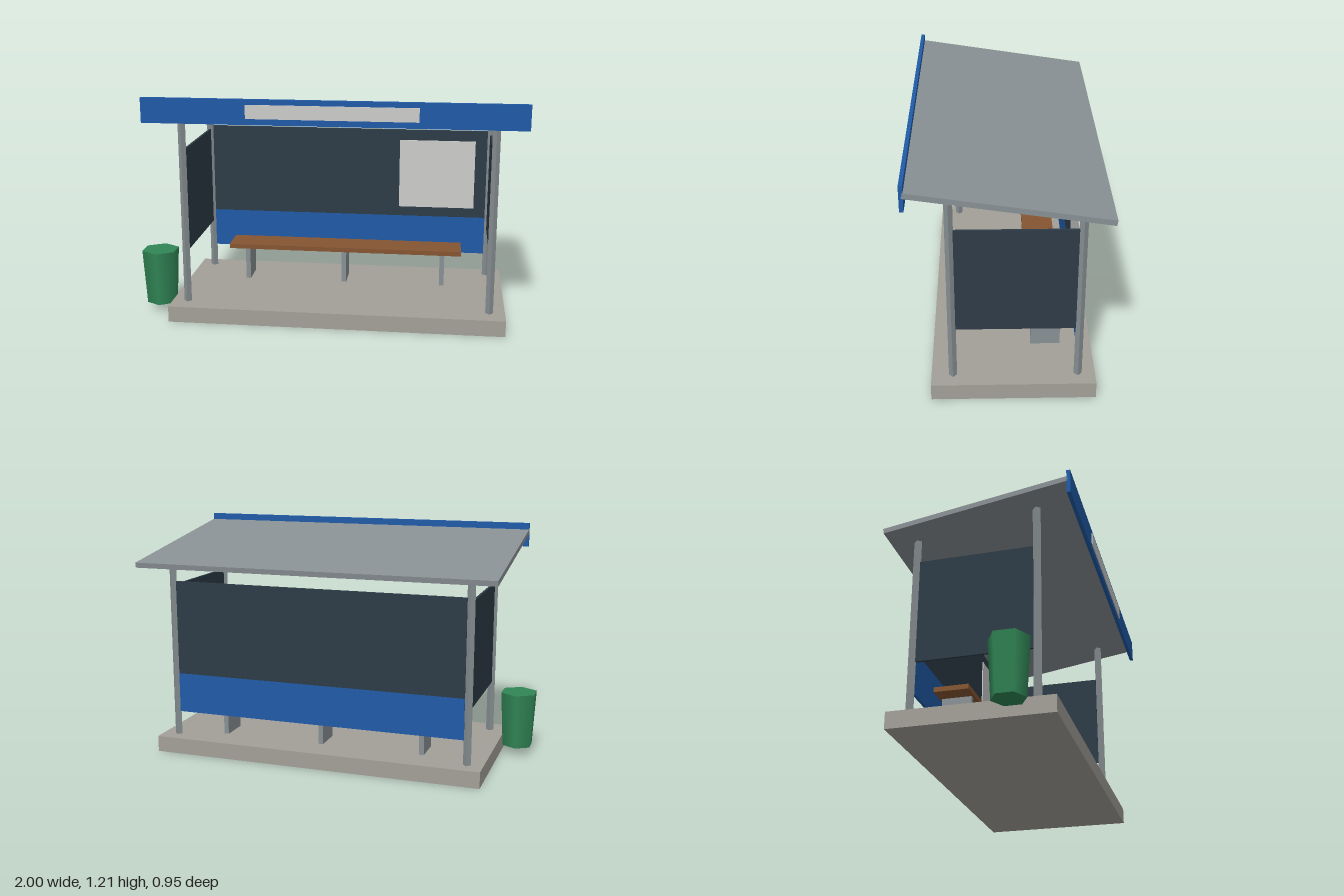
import * as THREE from 'three';

const mat = (name, color) => {
  const m = new THREE.MeshStandardMaterial({ color });
  m.name = name;
  return m;
};

export function createModel() {
  const steel = mat('grey steel', 0x899194);
  const concrete = mat('concrete', 0xa3a098);
  const blue = mat('blue paint', 0x205ba8);
  const tinted = mat('dark tinted panel', 0x2e3c47);
  const paper = mat('pale sign', 0xcccccb);
  const wood = mat('brown wood', 0x855632);
  const green = mat('green bin', 0x318656);

  const model = new THREE.Group();
  model.name = 'busShelter';
  const cx = 0.052; // middle of the shelter; the bin stands outside its left end

  const add = (name, geometry, material, x, y, z) => {
    const mesh = new THREE.Mesh(geometry, material);
    mesh.name = name;
    mesh.position.set(x, y, z);
    model.add(mesh);
    return mesh;
  };
  // Box given by its extents on each axis
  const box = (name, material, [x0, x1], [y0, y1], [z0, z1]) =>
    add(name, new THREE.BoxGeometry(x1 - x0, y1 - y0, z1 - z0), material,
      (x0 + x1) / 2, (y0 + y1) / 2, (z0 + z1) / 2);

  // Floor slab
  box('floorSlab', concrete, [cx - 0.88, cx + 0.88], [0, 0.085], [-0.428, 0.372]);

  // Four diamond-section posts, reaching into the sloping roof
  const postX = 0.798;
  for (const side of [-1, 1]) {
    for (const [name, z, top] of [['frontPost', 0.267, 1.13], ['rearPost', -0.343, 1.036]]) {
      add(name, new THREE.CylinderGeometry(0.02, 0.02, top - 0.085, 4).toNonIndexed(), steel,
        cx + side * postX, (top + 0.085) / 2, z).geometry.computeVertexNormals();
    }
    // Side panel between front and rear posts
    const x = cx + side * postX;
    box('sidePanel', tinted, [x - 0.006, x + 0.006], [0.36, 0.905], [-0.325, 0.249]);
  }

  // Rear wall: dark upper panel, blue lower panel, poster
  const wallX = [cx - 0.78, cx + 0.78];
  box('rearPanel', tinted, wallX, [0.425, 0.925], [-0.349, -0.337]);
  box('rearLowerPanel', blue, wallX, [0.213, 0.425], [-0.35, -0.336]);
  box('poster', paper, [0.345, 0.767], [0.48, 0.866], [-0.337, -0.331]);

  // Sloping roof, fascia and sign strip
  const roof = add('roof', new THREE.BoxGeometry(1.89, 0.027, 0.937), steel, cx, 1.0915, -0.007);
  roof.rotation.x = -0.154;
  box('fascia', blue, [cx - 0.945, cx + 0.945], [1.084, 1.21], [0.449, 0.468]);
  box('fasciaSign', paper, [cx - 0.422, cx + 0.422], [1.115, 1.184], [0.468, 0.473]);

  // Bench
  box('benchSeat', wood, [cx - 0.65, cx + 0.65], [0.264, 0.289], [-0.284, -0.108]);
  for (const offset of [-0.547, 0, 0.547]) {
    const x = cx + offset;
    box('benchLeg', steel, [x - 0.013, x + 0.013], [0.085, 0.264], [-0.271, -0.121]);
  }

  // Tapered six-sided litter bin
  add('litterBin', new THREE.CylinderGeometry(0.1, 0.083, 0.293, 6), green, -0.913, 0.1925, 0.178);

  return model;
}
